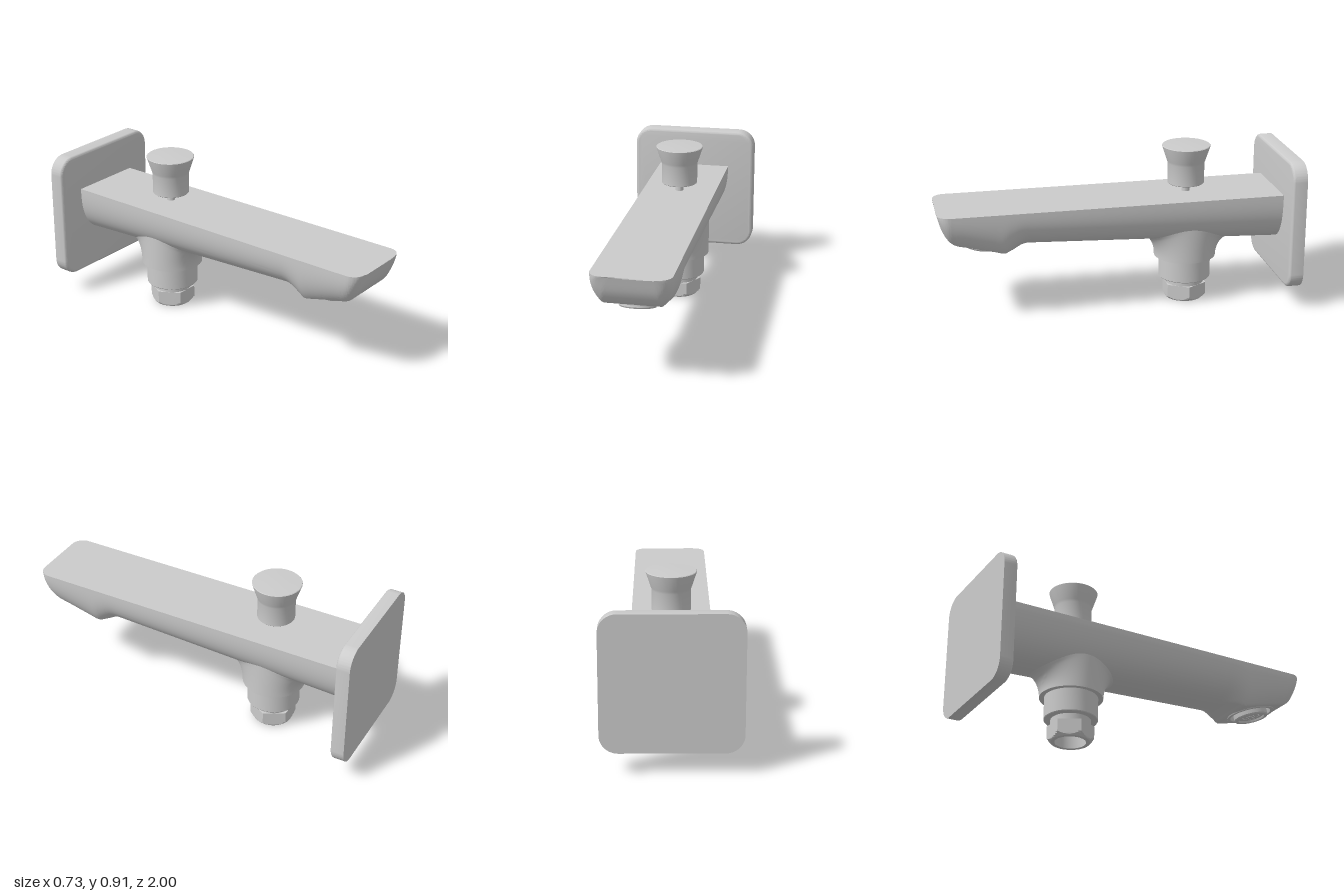
import * as THREE from 'three';
import { toCreasedNormals } from 'three/addons/utils/BufferGeometryUtils.js';

const material = new THREE.MeshStandardMaterial({ color: 0xcccccc, side: THREE.DoubleSide });
const TOP = 0.635, HALF = 0.212, VALVE_Z = -0.41;
const OUTLET = new THREE.Vector3(0, 0.4225, 0.77);
const V2 = (x, y) => new THREE.Vector2(x, y);

function add(parent, name, geometry, crease = 0.5) {
  const mesh = new THREE.Mesh(toCreasedNormals(geometry, crease), material);
  mesh.name = name;
  parent.add(mesh);
  return mesh;
}

// Lathe from [radius, height] pairs
const lathe = (pairs, segments = 48) =>
  new THREE.LatheGeometry(pairs.map(([r, y]) => V2(r, y)), segments);

// Skin over closed rows of points; keep() can leave faces out
function loft(rows, keep = () => true) {
  const n = rows[0].length, points = rows.flat(), index = [];
  const face = (a, b, c) => {
    const mid = points[a].clone().add(points[b]).add(points[c]).divideScalar(3);
    if (keep(mid)) index.push(a, b, c);
  };
  for (let i = 0; i < rows.length - 1; i++) {
    for (let j = 0; j < n; j++) {
      const a = i * n + j, b = i * n + (j + 1) % n;
      face(a, a + n, b);
      face(b, a + n, b + n);
    }
  }
  const geometry = new THREE.BufferGeometry().setFromPoints(points);
  geometry.setIndex(index);
  return geometry;
}

// Underside of the straight part of the spout
const bottomY = z => 0.345 + 0.0476 * (z + 0.92);
const undersideY = (x, z) =>
  TOP - (TOP - bottomY(z)) * Math.pow(1 - Math.pow(Math.abs(x) / HALF, 2.5), 0.4);

// Flat-topped U section; the nose has rounded corners and a flat outlet face
function spoutSection(z, y) {
  const depth = TOP - y, row = [], count = 64;
  const flatten = 1 + 0.25 * THREE.MathUtils.smoothstep(z, 0.5, 0.66);
  const c = Math.max(0, (z - 0.93) / 0.07);
  const half = HALF - 0.07 * (1 - Math.sqrt(Math.max(0, 1 - c * c)));
  for (let j = 0; j <= count; j++) {
    const a = Math.PI * j / count, cos = Math.cos(a);
    const x = half * Math.sign(cos) * Math.pow(Math.abs(cos), 0.8);
    const drop = Math.pow(Math.max(0, Math.sin(a)), 0.8) * flatten;
    row.push(new THREE.Vector3(x, TOP - depth * Math.min(1, drop), z));
  }
  return row;
}

function buildSpout(group) {
  const rows = [];
  for (let i = 0; i < 14; i++) {
    const z = -0.95 + 1.45 * i / 14;
    rows.push(spoutSection(z, bottomY(z)));
  }
  const nose = new THREE.SplineCurve([
    V2(0.5, 0.4126), V2(0.55, 0.413), V2(0.6, 0.402), V2(0.64, 0.391), V2(0.7, 0.405),
    V2(0.77, 0.4225), V2(0.84, 0.44), V2(0.9, 0.455), V2(0.94, 0.485), V2(0.975, 0.545), V2(1, 0.63),
  ]);
  for (const p of nose.getPoints(80)) rows.push(spoutSection(Math.min(p.x, 1), p.y));
  const inOutlet = p => p.y < 0.5 && Math.hypot(p.x, (p.z - OUTLET.z) * 1.03) < 0.128;
  add(group, 'spout', loft(rows, p => !inOutlet(p)), 0.7);
}

function buildOutlet(group) {
  const outlet = new THREE.Group();
  outlet.name = 'outlet';
  outlet.position.copy(OUTLET);
  outlet.rotation.x = -Math.atan(0.25);
  group.add(outlet);
  // Rim, recess and nozzle ring
  add(outlet, 'aeratorRing', lathe([
    [0.142, 0.005], [0.14, -0.003], [0.12, -0.003], [0.118, 0.045], [0.098, 0.045],
    [0.1, -0.02], [0.095, -0.027], [0.077, -0.027], [0.073, -0.01], [0.073, 0.012], [0, 0.012],
  ]));
  // Perforated plate
  const plate = new THREE.Shape().absarc(0, 0, 0.074, 0, Math.PI * 2);
  for (const [radius, count] of [[0, 1], [0.024, 6], [0.048, 12]]) {
    for (let i = 0; i < count; i++) {
      const a = Math.PI * 2 * i / count;
      plate.holes.push(new THREE.Path().absarc(radius * Math.cos(a), radius * Math.sin(a), 0.005, 0, Math.PI * 2, true));
    }
  }
  const geometry = new THREE.ExtrudeGeometry(plate, { depth: 0.012, bevelEnabled: false, curveSegments: 16 });
  geometry.rotateX(-Math.PI / 2).translate(0, -0.016, 0);
  add(outlet, 'aeratorPlate', geometry);
}

function buildLowerConnection(group) {
  // Neck flaring along the spout until it meets the underside
  const rows = [];
  for (let i = 0; i <= 12; i++) {
    const t = i / 12, flare = 1 - Math.sqrt(1 - t * t), row = [];
    for (let j = 0; j < 64; j++) {
      const a = Math.PI * 2 * j / 64;
      const x = 0.174 * Math.cos(a);
      const z = (0.175 + 0.085 * flare) * Math.sin(a);
      const end = undersideY(x, VALVE_Z + 0.26 * Math.sin(a)) + 0.006;
      row.push(new THREE.Vector3(x, 0.255 + (end - 0.255) * t, VALVE_Z + z));
    }
    rows.push(row);
  }
  add(group, 'neck', loft(rows), 0.7);

  add(group, 'collar', lathe([
    [0.11, 0.085], [0.11, 0.125], [0.144, 0.125], [0.147, 0.129], [0.147, 0.256], [0.174, 0.256],
  ])).position.z = VALVE_Z;

  // Chamfered hexagonal nut with an open bore
  const nut = lathe([
    [0, 0.12], [0.085, 0.12], [0.085, 0], [0.106, 0], [0.11, 0.004], [0.115, 0.009],
    [0.12, 0.014], [0.128, 0.022], [0.128, 0.091], [0.085, 0.091],
  ]);
  const p = nut.attributes.position;
  for (let i = 0; i < p.count; i++) {
    const x = p.getX(i), z = p.getZ(i), r = Math.hypot(x, z);
    if (r < 0.1) continue;
    const a = (Math.atan2(z, x) + Math.PI * 2 + 1e-6) % (Math.PI / 3) - Math.PI / 6;
    const k = Math.min(r, 0.111 / Math.cos(a)) / r;
    p.setXYZ(i, x * k, p.getY(i), z * k);
  }
  add(group, 'nut', nut, 0.3).position.z = VALVE_Z;
}

function buildDiverter(group) {
  add(group, 'diverterRod', lathe([[0.023, 0.62], [0.023, 0.7]], 24)).position.z = VALVE_Z;
  add(group, 'diverterKnob', lathe([
    [0, 0.683], [0.1, 0.683], [0.103, 0.686], [0.103, 0.8], [0.108, 0.815],
    [0.134, 0.894], [0.135, 0.899], [0.132, 0.902], [0.07, 0.905], [0, 0.906],
  ]), 0.35).position.z = VALVE_Z;
}

// Rounded square plate, soft front edge and flat back
function buildWallPlate(group) {
  const bevel = 0.018, w = 0.366 - bevel, r = 0.08, s = new THREE.Shape();
  s.absarc(w - r, w - r, r, 0, Math.PI / 2);
  s.absarc(r - w, w - r, r, Math.PI / 2, Math.PI);
  s.absarc(r - w, r - w, r, Math.PI, Math.PI * 1.5);
  s.absarc(w - r, r - w, r, Math.PI * 1.5, Math.PI * 2);
  const geometry = new THREE.ExtrudeGeometry(s, {
    depth: 0.08 - bevel, bevelThickness: bevel, bevelSize: bevel, bevelSegments: 5, curveSegments: 12,
  });
  const p = geometry.attributes.position;
  for (let i = 0; i < p.count; i++) p.setZ(i, Math.max(0, p.getZ(i)));
  add(group, 'wallPlate', geometry).position.set(0, 0.486, -1);
}

export function createModel() {
  const group = new THREE.Group();
  group.name = 'bathSpout';
  buildWallPlate(group);
  buildSpout(group);
  buildOutlet(group);
  buildLowerConnection(group);
  buildDiverter(group);
  return group;
}
